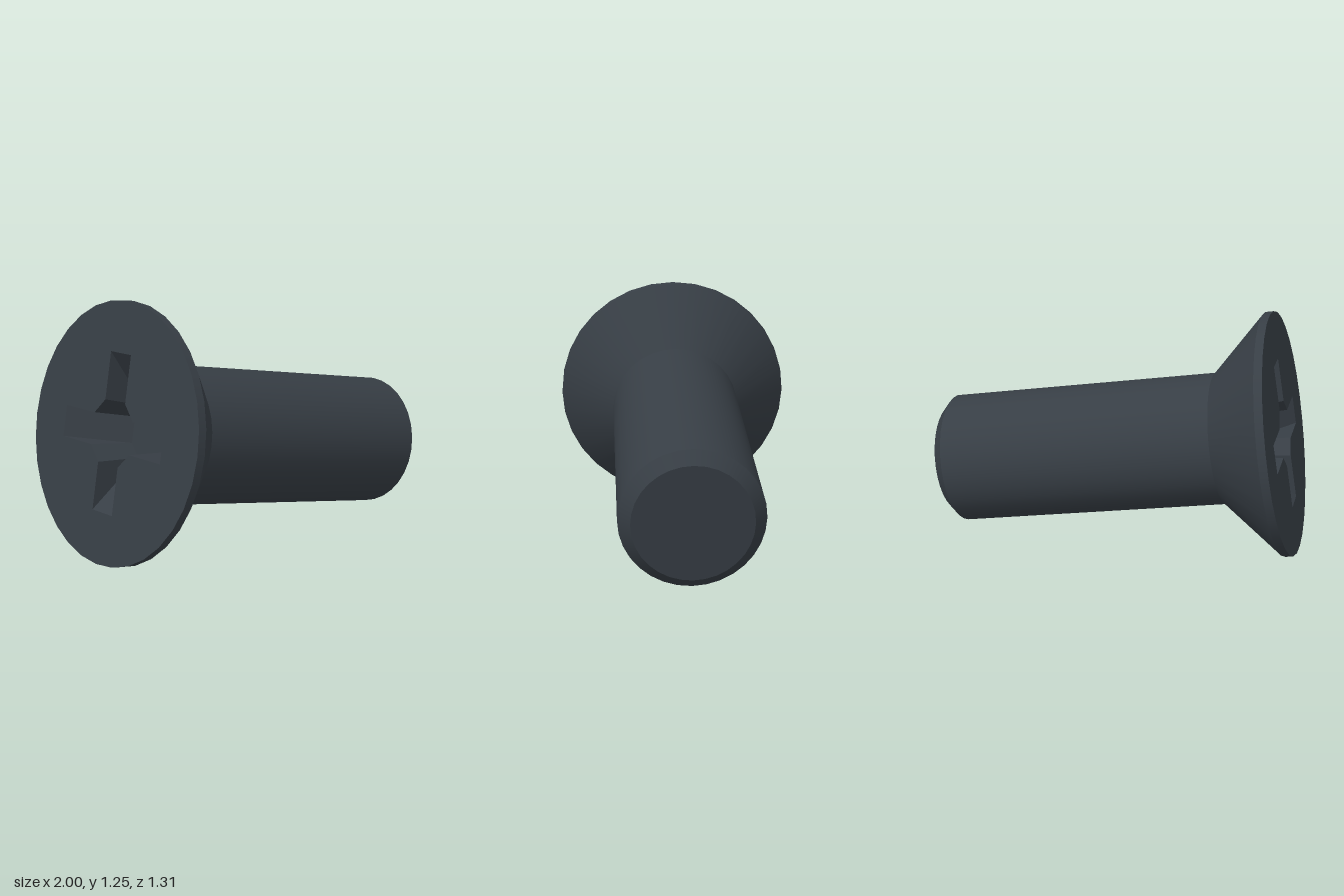
import * as THREE from 'three';

export function createModel() {
  const root = new THREE.Group();
  root.name = 'countersunkScrew';
  const steel = new THREE.MeshStandardMaterial({ color: 0x373e45 });
  steel.name = 'black steel';

  const SIDES = 32;
  const HEAD_R = 0.628, SHAFT_R = 0.342, TIP_R = 0.284;

  // Screw frame: local +z points out of the head, the shaft runs along -z
  const axis = new THREE.Vector3(0.965, -0.165, 0.2026).normalize();
  const out = axis.clone().negate();
  const up = new THREE.Vector3(0, 1, 0).addScaledVector(axis, -axis.y).normalize();
  const side = new THREE.Vector3().crossVectors(up, out);
  const screw = new THREE.Group();
  screw.name = 'screw';
  screw.quaternion.setFromRotationMatrix(new THREE.Matrix4().makeBasis(side, up, out));
  screw.position.set(-0.833, 0.627, -0.038);
  root.add(screw);

  const add = (name, geometry) => {
    const mesh = new THREE.Mesh(geometry, steel);
    mesh.name = name;
    screw.add(mesh);
  };

  // Turned sections, each [name, radius, depth, radius, depth], separate so edges stay crisp
  const sections = [
    ['headRim', HEAD_R, 0, HEAD_R, 0.042],
    ['headCone', HEAD_R, 0.042, SHAFT_R, 0.33],
    ['shaft', SHAFT_R, 0.33, SHAFT_R, 1.767],
    ['tipChamfer', SHAFT_R, 1.767, TIP_R, 1.823],
    ['tipFace', TIP_R, 1.823, 0, 1.823],
  ];
  for (const [name, r0, d0, r1, d1] of sections) {
    const profile = [new THREE.Vector2(r0, d0), new THREE.Vector2(r1, d1)];
    add(name, new THREE.LatheGeometry(profile, SIDES).rotateX(-Math.PI / 2));
  }

  // Cross recess outline: four arms with chamfered inner corners
  const L = 0.38, W = 0.077, C = 0.15, DEPTH = 0.23, TAPER = 0.85;
  const arms = [];
  for (let k = 0; k < 4; k++) {
    const turn = ([x, y]) =>
      new THREE.Vector3(x, y, 0).applyAxisAngle(new THREE.Vector3(0, 0, 1), k * Math.PI / 2);
    arms.push([[C, -W], [L, -W], [L, W], [C, W]].map(turn));
  }

  // Flat head face with the cross cut out
  const disc = [];
  for (let i = 0; i < SIDES; i++) {
    const a = (i / SIDES) * Math.PI * 2;
    disc.push(new THREE.Vector2(HEAD_R * Math.sin(a), HEAD_R * Math.cos(a)));
  }
  const face = new THREE.Shape(disc);
  face.holes.push(new THREE.Path(arms.flat().map(p => new THREE.Vector2(p.x, p.y))));
  add('headFace', new THREE.ShapeGeometry(face));

  // Recess walls, sloped arm floors and flat bottom
  const points = [];
  const tri = (...p) => points.push(...p);
  const quad = (a, b, c, d) => tri(a, b, c, a, c, d);
  const deep = p => new THREE.Vector3(p.x * TAPER, p.y * TAPER, -DEPTH);
  const middle = new THREE.Vector3(0, 0, -DEPTH);
  arms.forEach(([s, a, b, c], k) => {
    const next = arms[(k + 1) % 4][0];
    quad(deep(s), a, b, deep(c));
    tri(s, a, deep(s));
    tri(b, c, deep(c));
    quad(c, next, deep(next), deep(c));
    tri(middle, deep(s), deep(c));
    tri(middle, deep(c), deep(next));
  });
  const recess = new THREE.BufferGeometry().setFromPoints(points);
  recess.computeVertexNormals();
  add('crossRecess', recess);

  return root;
}
